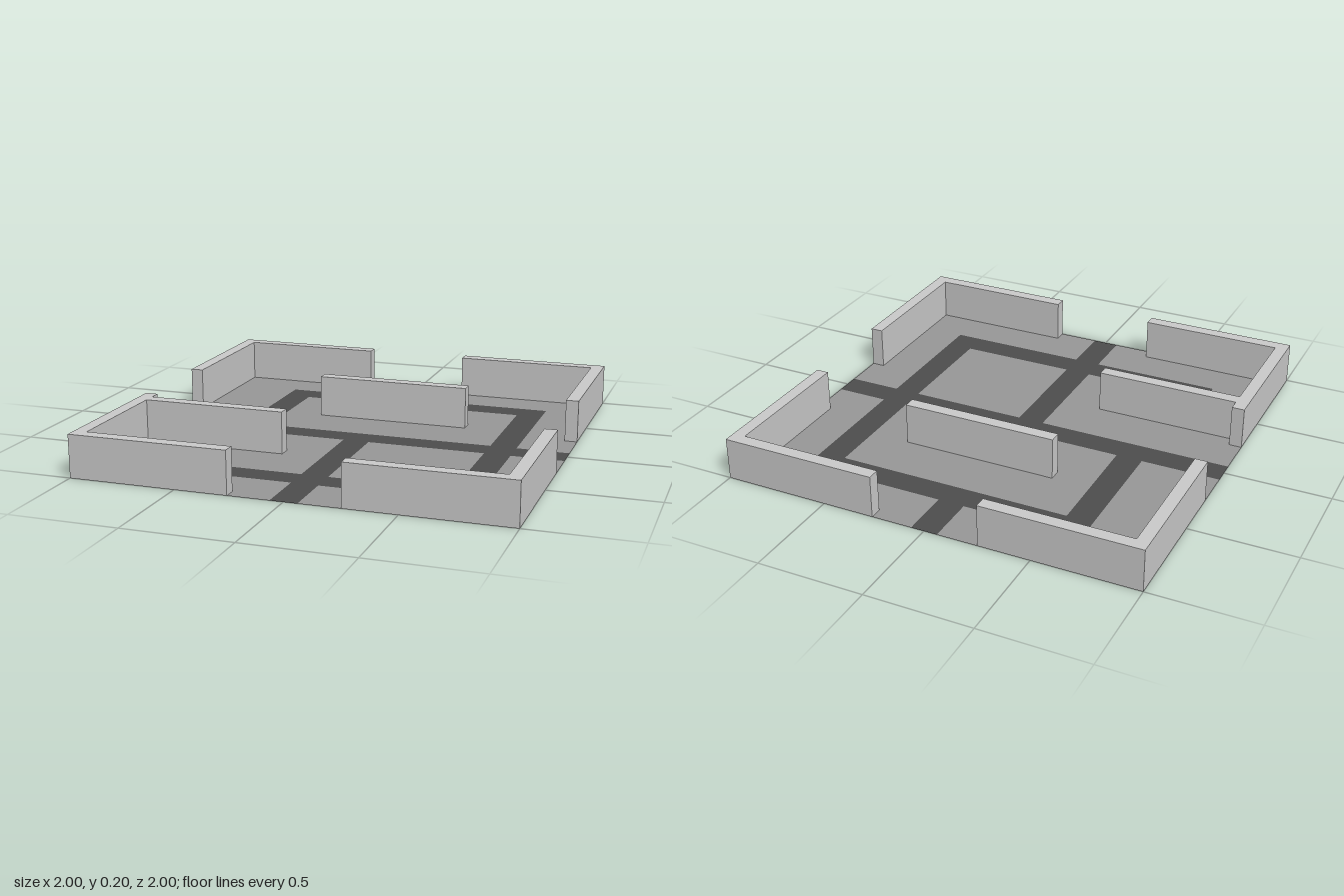
import * as THREE from 'three';

const H = 0.2;    // wall height
const T = 0.94;   // inner face of the outer walls
const G = 0.255;  // half width of the gateways

// Footprints as [x, z] corners
const lShape = (sx, sz) =>
  [[1, 1], [G, 1], [G, T], [T, T], [T, G], [1, G]].map(([x, z]) => [x * sx, z * sz]);
const walls = {
  backRightWall: lShape(-1, -1),
  backLeftWall: lShape(1, -1),
  frontLeftWall: lShape(1, 1),
  // this corner carries an inner partition
  frontRightWall: [[-1, 1], [-G, 1], [-G, T], [-T, T], [-T, 0.37], [-G, 0.37],
    [-G, 0.31], [-T, 0.31], [-T, G], [-1, G]],
  freeStandingWall: [[-0.315, -0.377], [0.435, -0.377], [0.435, -0.317], [-0.315, -0.317]],
};

// Path strips as [x0, z0, x1, z1]
const P = 0.0625;
const paths = [
  [-1, -P, 1, P],
  [-P, -1, P, -0.63],
  [-P, P, P, 1],
  [-0.625, -0.755, 0.75, -0.63],
  [-0.625, -0.755, -0.5, -P],
  [0.625, -0.755, 0.75, 0.75],
  [-0.69, 0.625, 0.75, 0.75],
];

function geometryFrom(positions) {
  const g = new THREE.BufferGeometry();
  g.setAttribute('position', new THREE.Float32BufferAttribute(positions, 3));
  g.computeVertexNormals();
  return g;
}

// Hollow wall: sides and top, open underneath
function wallGeometry(footprint) {
  let pts = footprint.map(([x, z]) => new THREE.Vector2(x, -z));
  if (THREE.ShapeUtils.isClockWise(pts)) pts = pts.reverse();
  const pos = [];
  const put = (p, y) => pos.push(p.x, y, -p.y);
  pts.forEach((a, i) => {
    const b = pts[(i + 1) % pts.length];
    put(a, 0); put(b, 0); put(b, H);
    put(a, 0); put(b, H); put(a, H);
  });
  for (const tri of THREE.ShapeUtils.triangulateShape(pts, [])) {
    tri.forEach((i) => put(pts[i], H));
  }
  return geometryFrom(pos);
}

function insidePolygon(x, z, poly) {
  let inside = false;
  poly.forEach(([ax, az], i) => {
    const [bx, bz] = poly[(i + 1) % poly.length];
    if ((az > z) !== (bz > z) && x < ax + (bx - ax) * (z - az) / (bz - az)) inside = !inside;
  });
  return inside;
}

// Divide the floor at every edge, then sort the cells into ground and path
function floorGeometries() {
  const footprints = Object.values(walls);
  const cuts = (axis) => [...new Set([
    ...footprints.flatMap((f) => f.map((p) => p[axis])),
    ...paths.flatMap((r) => [r[axis], r[axis + 2]]),
  ])].sort((a, b) => a - b);
  const xs = cuts(0), zs = cuts(1);
  const ground = [], path = [];
  for (let i = 0; i < xs.length - 1; i++) {
    for (let j = 0; j < zs.length - 1; j++) {
      const [x0, x1, z0, z1] = [xs[i], xs[i + 1], zs[j], zs[j + 1]];
      const cx = (x0 + x1) / 2, cz = (z0 + z1) / 2;
      if (footprints.some((f) => insidePolygon(cx, cz, f))) continue;
      const onPath = paths.some((r) => cx > r[0] && cx < r[2] && cz > r[1] && cz < r[3]);
      (onPath ? path : ground).push(
        x0, 0, z0, x0, 0, z1, x1, 0, z1,
        x0, 0, z0, x1, 0, z1, x1, 0, z0);
    }
  }
  return { ground: geometryFrom(ground), path: geometryFrom(path) };
}

export function createModel() {
  const model = new THREE.Group();
  model.name = 'walledCourtyard';
  const material = (color) => new THREE.MeshStandardMaterial({ color, side: THREE.DoubleSide });
  const add = (name, geometry, mat) => {
    const mesh = new THREE.Mesh(geometry, mat);
    mesh.name = name;
    model.add(mesh);
  };

  // Walls
  const wallMaterial = material(0xcccccc);
  for (const [name, footprint] of Object.entries(walls)) {
    add(name, wallGeometry(footprint), wallMaterial);
  }

  // Flat floor with the dark paths set into it
  const { ground, path } = floorGeometries();
  add('ground', ground, material(0x989898));
  add('path', path, material(0x4e4e4e));
  return model;
}
